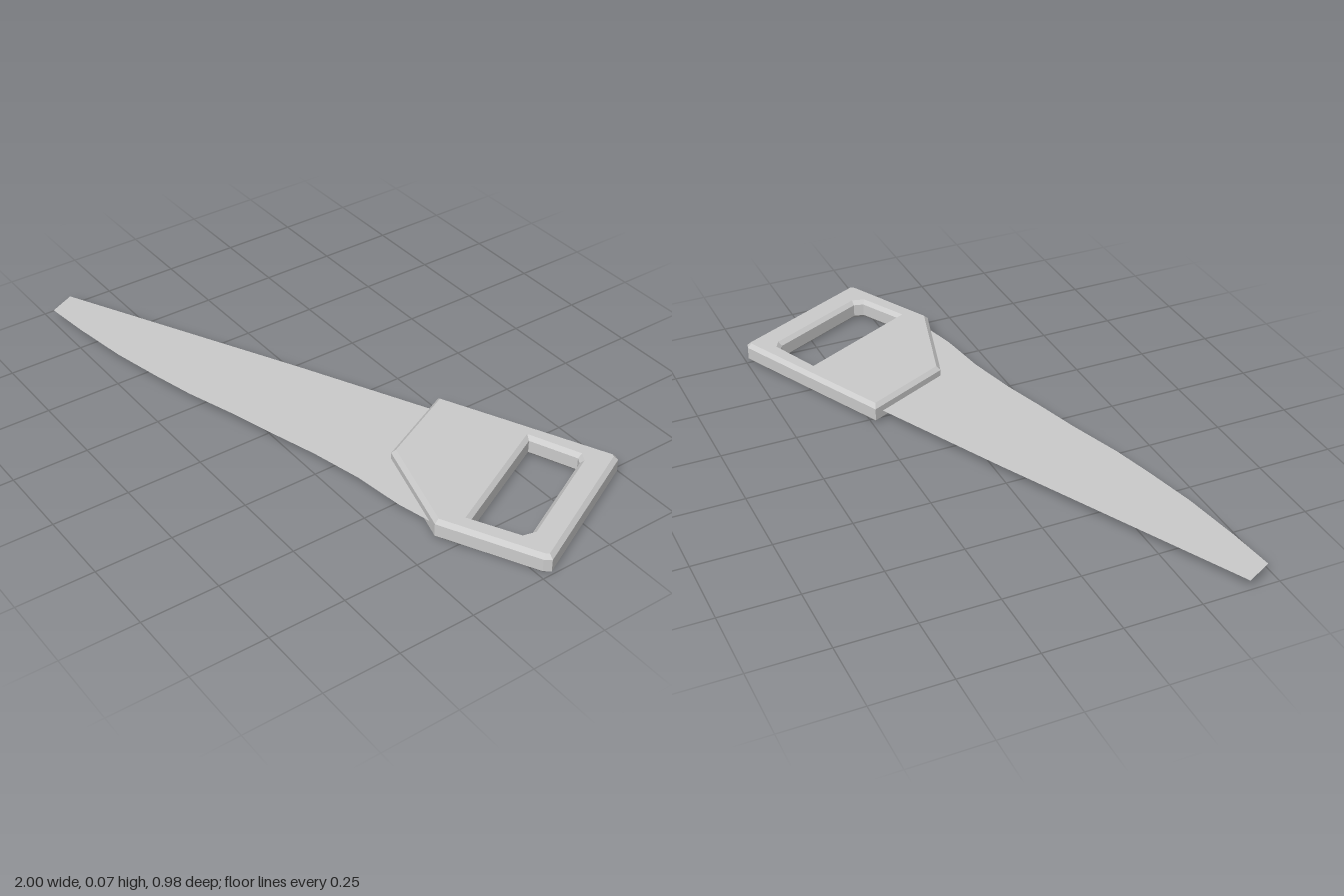
import * as THREE from 'three';

// Outline points are [x, z] on the ground plane; shape y is -z
const toPoints = (pts) => pts.map(([x, z]) => new THREE.Vector2(x, -z));

const HEIGHT = 0.068;
const BEVEL = 0.013;

function flatMaterial(side = THREE.FrontSide) {
  return new THREE.MeshStandardMaterial({ color: 0xcccccc, flatShading: true, side });
}

function createHandle() {
  const shape = new THREE.Shape(toPoints([
    [0.22, -0.24], [0.41, -0.33], [0.755, -0.492], [0.775, -0.486],
    [1.0, -0.03], [0.985, -0.01], [0.69, 0.142], [0.675, 0.137], [0.355, 0.045],
  ]));
  // Grip opening
  shape.holes.push(new THREE.Path(toPoints([
    [0.55, -0.33], [0.735, 0.045], [0.872, -0.028], [0.88, -0.06],
    [0.72, -0.382], [0.7, -0.393],
  ])));
  const geometry = new THREE.ExtrudeGeometry(shape, {
    depth: HEIGHT - 2 * BEVEL,
    bevelEnabled: true,
    bevelThickness: BEVEL,
    bevelSize: BEVEL,
    bevelOffset: -BEVEL,
    bevelSegments: 1,
  });
  geometry.translate(0, 0, BEVEL).rotateX(-Math.PI / 2);
  const handle = new THREE.Mesh(geometry, flatMaterial());
  handle.name = 'handle';
  return handle;
}

function createBlade() {
  // Thin sheet: straight back, curved cutting edge, root buried in the handle
  const shape = new THREE.Shape(toPoints([
    [-1, 0.4], [-0.955, 0.487], [-0.8, 0.47], [-0.6, 0.44], [-0.42, 0.4],
    [-0.28, 0.365], [-0.1, 0.307], [0.05, 0.265], [0.2, 0.22], [0.37, 0.18],
    [0.54, 0.157], [0.67, 0.125], [0.66, 0.05], [0.5, -0.25], [0.3, -0.242],
    [0.2, -0.193], [-0.2, 0.0], [-0.6, 0.2],
  ]));
  const geometry = new THREE.ShapeGeometry(shape).rotateX(-Math.PI / 2);
  const blade = new THREE.Mesh(geometry, flatMaterial(THREE.DoubleSide));
  blade.name = 'blade';
  blade.position.y = HEIGHT / 2;
  return blade;
}

export function createModel() {
  const saw = new THREE.Group();
  saw.name = 'handSaw';
  saw.add(createBlade(), createHandle());
  return saw;
}
